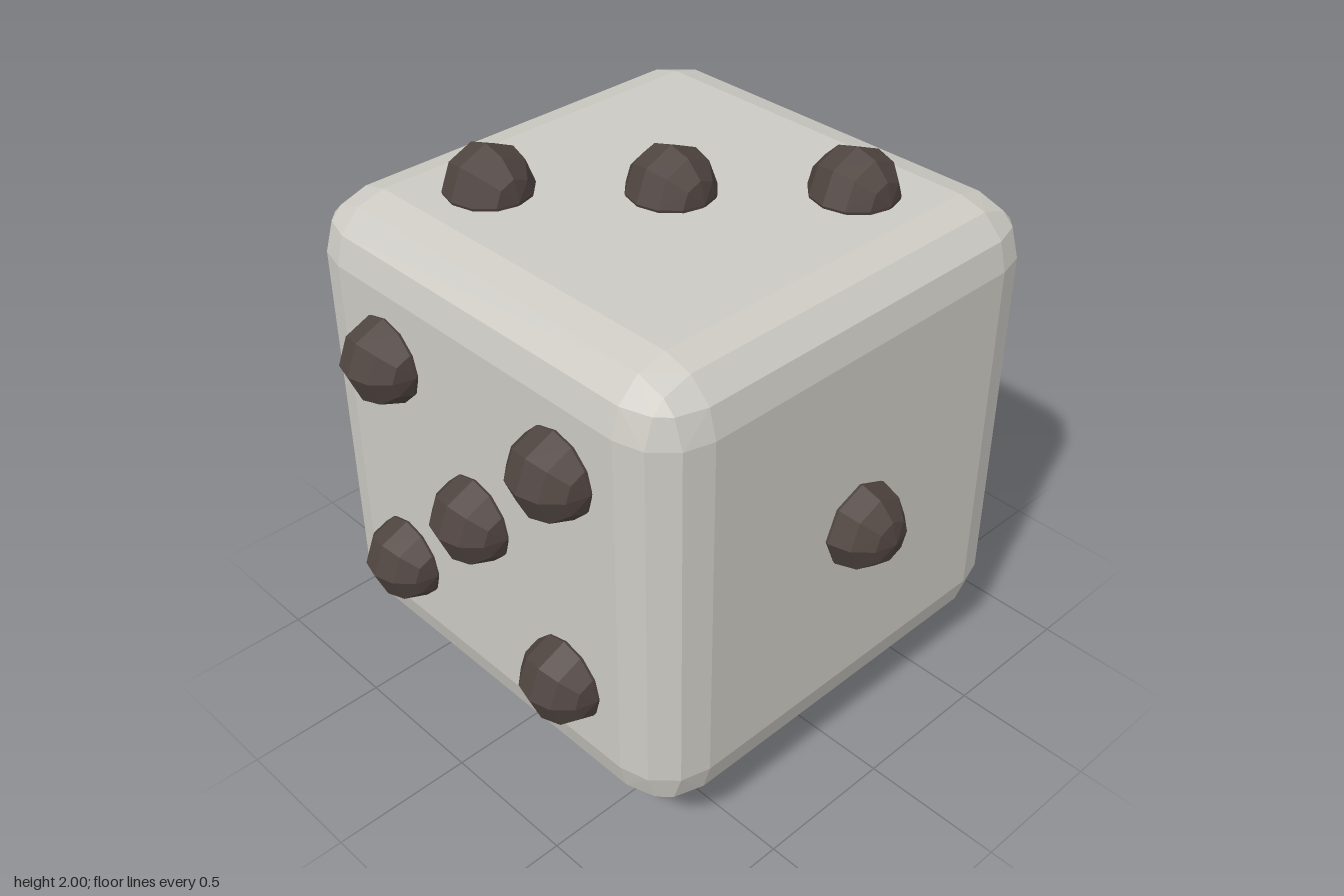
import * as THREE from 'three';
import { ConvexGeometry } from 'three/addons/geometries/ConvexGeometry.js';

const HALF = 0.84, BEVEL = 0.2, PIP = 0.15, STEP = 0.405;

// Cube with three-step bevels: one octant of directions mirrored to eight corners
function bodyGeometry() {
  const s = Math.sin(Math.PI / 3), q = Math.SQRT1_2;
  const octant = [
    [1, 0, 0], [0, 1, 0], [0, 0, 1],
    [s, 0.5, 0], [0.5, s, 0], [0, s, 0.5], [0, 0.5, s], [s, 0, 0.5], [0.5, 0, s],
    [q, 0.5, 0.5], [0.5, q, 0.5], [0.5, 0.5, q],
  ];
  const points = [], core = HALF - BEVEL;
  for (const sx of [-1, 1]) for (const sy of [-1, 1]) for (const sz of [-1, 1])
    for (const [x, y, z] of octant)
      points.push(new THREE.Vector3(
        sx * (core + BEVEL * x), sy * (core + BEVEL * y), sz * (core + BEVEL * z)));
  return new ConvexGeometry(points);
}

export function createModel() {
  const group = new THREE.Group();
  group.name = 'die';
  const ivory = new THREE.MeshStandardMaterial({ color: 0xcccac3 });
  ivory.name = 'paleGrey';
  ivory.flatShading = true;
  const dark = new THREE.MeshStandardMaterial({ color: 0x4f4440 });
  dark.name = 'darkBrown';
  dark.flatShading = true;

  const body = new THREE.Mesh(bodyGeometry(), ivory);
  body.name = 'body';
  body.position.y = 1;
  group.add(body);

  // Raised pips: all share one low-poly ball whose poles lie along z
  const ball = new THREE.SphereGeometry(PIP, 8, 6).rotateX(Math.PI / 2);
  const d = 1 - PIP;
  const corners = [[-1, -1], [-1, 1], [1, -1], [1, 1]];
  const faces = {
    front: { at: (a, b) => [a, b, d], pips: [[0, 0]] },
    leftSide: { at: (a, b) => [d, a, b], pips: [[1, 1], [-1, -1]] },
    top: { at: (a, b) => [a, d, b], pips: [[-1, -1], [0, 0], [1, 1]] },
    bottom: { at: (a, b) => [a, -d, b], pips: corners },
    rightSide: { at: (a, b) => [-d, a, b], pips: [...corners, [0, 0]] },
    back: { at: (a, b) => [a, b, -d], pips: [...corners, [-1, 0], [1, 0]] },
  };
  for (const [name, { at, pips }] of Object.entries(faces)) {
    const set = new THREE.Group();
    set.name = name + 'Pips';
    set.position.y = 1;
    pips.forEach(([a, b], i) => {
      const pip = new THREE.Mesh(ball, dark);
      pip.name = name + 'Pip' + (i + 1);
      pip.position.set(...at(a * STEP, b * STEP));
      set.add(pip);
    });
    group.add(set);
  }
  return group;
}
